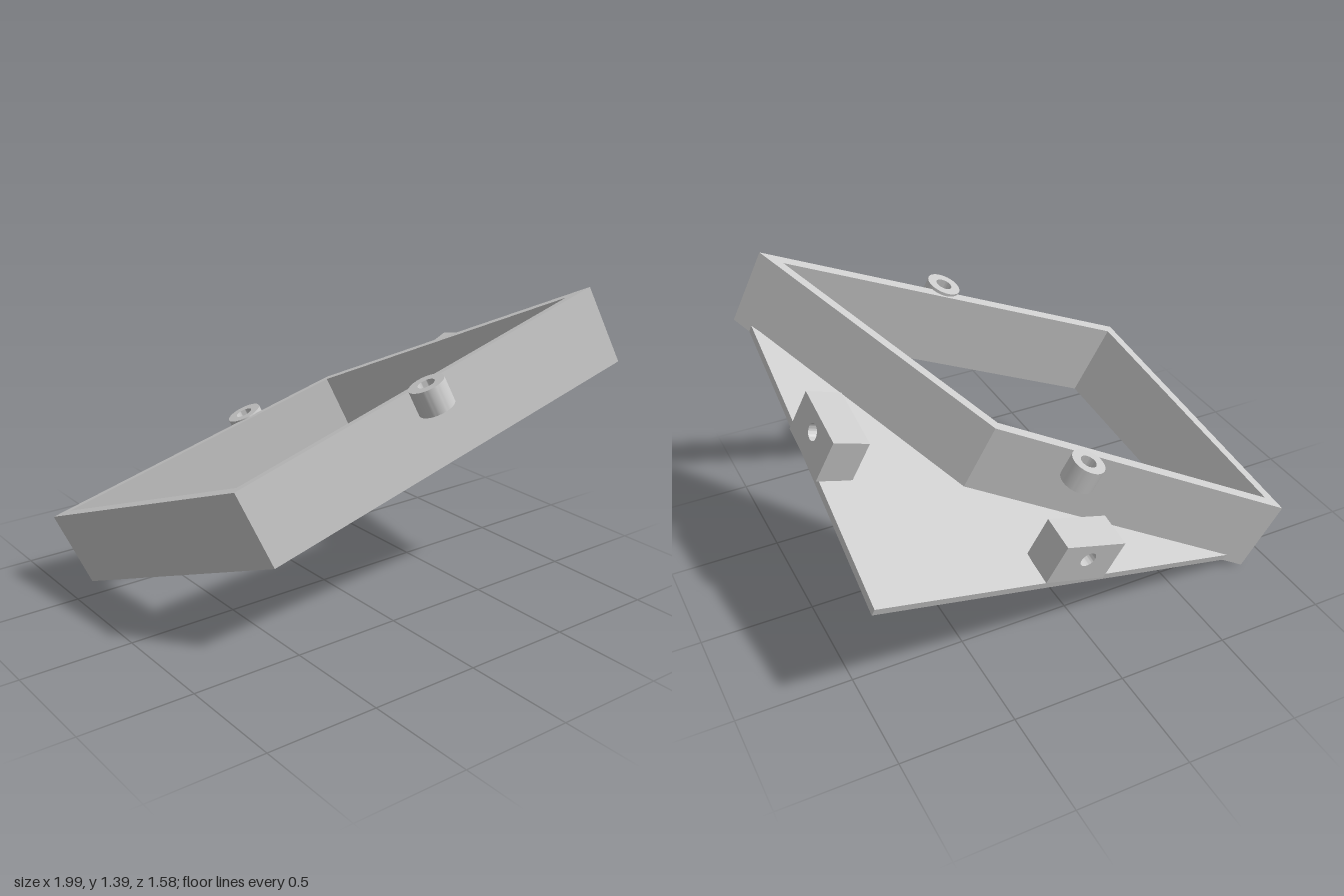
import * as THREE from 'three';
import { toCreasedNormals } from 'three/addons/utils/BufferGeometryUtils.js';

const material = new THREE.MeshStandardMaterial({ color: 0xcccccc });
// Direction in which the walls, bosses and lugs rise
const RISE = new THREE.Vector3(-0.366, 0.909, -0.198).normalize();
// Height of the tilted base plane at plan position x, z
const baseY = (x, z) => 0.3407 * (x + 0.865) + 0.302 * (z + 0.62);

// Plan outline [x, z] raised from the base plane along an offset vector
function slab(name, outline, hole, offset) {
  const toPoints = (list) => list.map(([x, z]) => new THREE.Vector2(x, -z));
  const shape = new THREE.Shape(toPoints(outline));
  if (hole) shape.holes.push(new THREE.Path(toPoints(hole)));
  const geo = new THREE.ExtrudeGeometry(shape, { depth: 1, bevelEnabled: false });
  const p = geo.attributes.position;
  for (let i = 0; i < p.count; i++) {
    const x = p.getX(i), z = -p.getY(i), t = p.getZ(i);
    p.setXYZ(i, x + t * offset.x, baseY(x, z) + t * offset.y, z + t * offset.z);
  }
  geo.computeVertexNormals();
  const mesh = new THREE.Mesh(geo, material);
  mesh.name = name;
  return mesh;
}

// Mitred inward offset of a plan outline listed A, B, C, D
function inset(points, t) {
  const n = points.length;
  const normal = (a, b) => {
    const dx = b[0] - a[0], dz = b[1] - a[1], l = Math.hypot(dx, dz);
    return [dz / l, -dx / l];
  };
  return points.map((p, i) => {
    const a = normal(points[(i + n - 1) % n], p);
    const b = normal(p, points[(i + 1) % n]);
    const k = t / (1 + a[0] * b[0] + a[1] * b[1]);
    return [p[0] + (a[0] + b[0]) * k, p[1] + (a[1] + b[1]) * k];
  });
}

// Extruded shape centred on its depth, with a round bore
function bored(name, shape, depth, boreY) {
  const bore = new THREE.Path();
  bore.absarc(0, boreY, 0.037, 0, Math.PI * 2, true);
  shape.holes.push(bore);
  const geo = new THREE.ExtrudeGeometry(shape, { depth, bevelEnabled: false, curveSegments: 24 });
  geo.translate(0, 0, -depth / 2);
  const mesh = new THREE.Mesh(toCreasedNormals(geo, 0.6), material);
  mesh.name = name;
  return mesh;
}

// Screw lug: a block bored along the given direction
function lug(name, center, direction) {
  const w = 0.158, h = 0.102;
  const shape = new THREE.Shape([[-w, -h], [w, -h], [w, h], [-w, h]].map((c) => new THREE.Vector2(...c)));
  const mesh = bored(name, shape, 0.165, 0.02);
  const z = new THREE.Vector3(...direction).normalize();
  const x = new THREE.Vector3().crossVectors(RISE, z).normalize();
  z.crossVectors(x, RISE);
  mesh.quaternion.setFromRotationMatrix(new THREE.Matrix4().makeBasis(x, RISE, z));
  mesh.position.set(...center);
  return mesh;
}

// Round boss with its top face at the given point
function boss(name, top) {
  const length = 0.115;
  const shape = new THREE.Shape();
  shape.absarc(0, 0, 0.078, 0, Math.PI * 2, false);
  const mesh = bored(name, shape, length, 0);
  mesh.quaternion.setFromUnitVectors(new THREE.Vector3(0, 0, 1), RISE);
  mesh.position.set(...top).addScaledVector(RISE, -length / 2);
  return mesh;
}

export function createModel() {
  const model = new THREE.Group();
  model.name = 'tiltedFrameBracket';

  // Four-sided wall frame
  const outer = [[-0.865, -0.625], [-0.62, 0.508], [0.99, 0.79], [0.35, -0.195]];
  model.add(slab('frameWalls', outer, inset(outer, 0.04), RISE.clone().multiplyScalar(0.364)));

  // Thin mounting plate beside the frame
  const plate = [[-0.835, -0.588], [0.277, -0.135], [0.945, 0.72], [0.988, -0.785]];
  model.add(slab('mountingPlate', plate, null, new THREE.Vector3(-0.01, 0.031, -0.009)));

  // Screw lugs on the plate edges
  model.add(lug('backLug', [0.032, 0.44, -0.642], [0.033, 0.225, 0.973]));
  model.add(lug('sideLug', [0.859, 0.897, -0.042], [0.93, 0.358, -0.078]));

  // Bosses against the outside of the walls
  model.add(boss('frontBoss', [0.043, 1.09, 0.62]));
  model.add(boss('backBoss', [-0.125, 0.715, -0.455]));
  return model;
}
